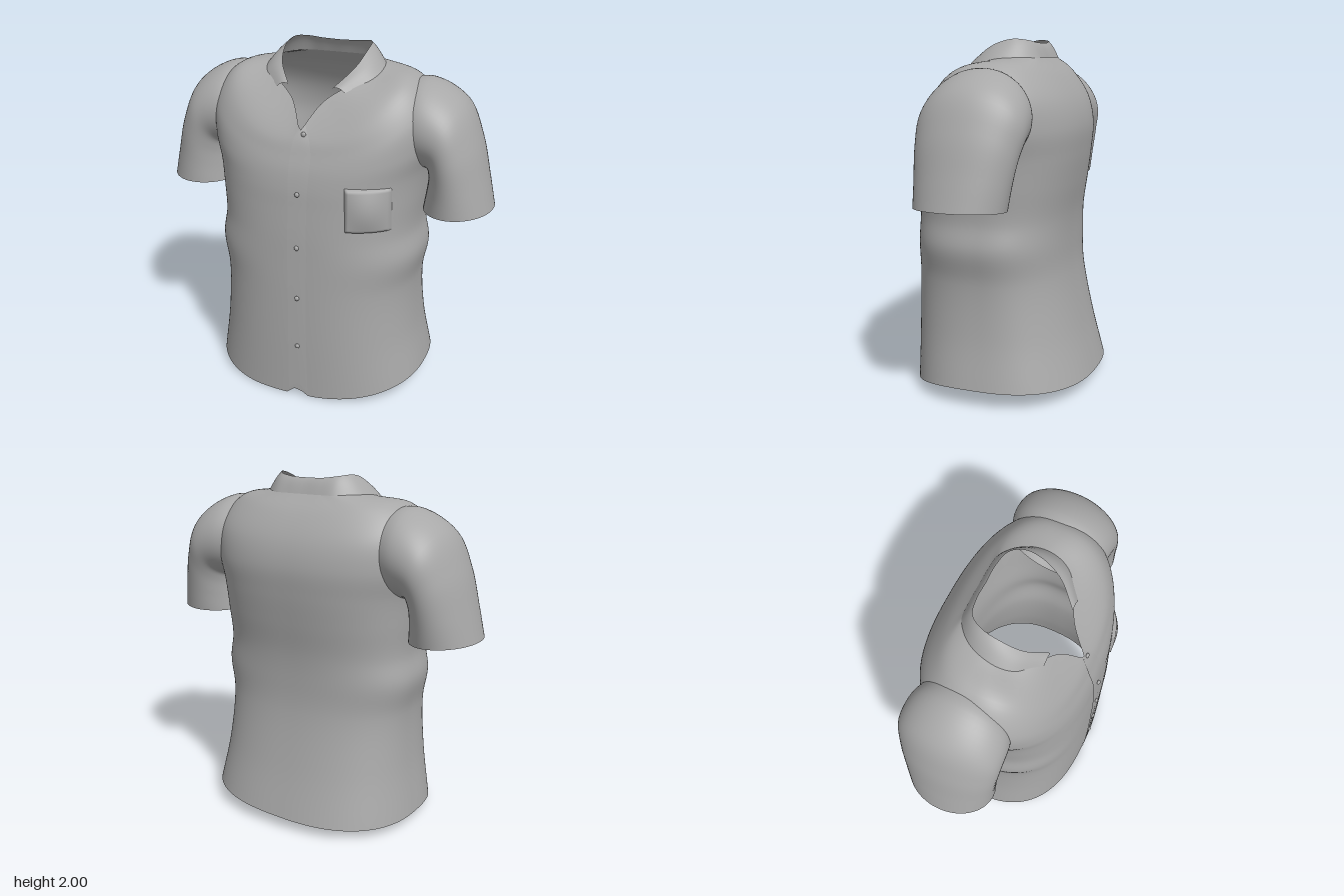
import * as THREE from 'three';

const fabric = new THREE.MeshStandardMaterial({ color: 0xa8a8a8, side: THREE.DoubleSide });
fabric.name = 'grey fabric';

const V = (x, y, z) => new THREE.Vector3(x, y, z);
const curve = (pts) => new THREE.CatmullRomCurve3(pts);

// Smooth grid surface; columns k, rows j, optionally closed around.
function surface(name, cols, rows, wrap, flip, column) {
  const pos = [], idx = [];
  const n = wrap ? cols : cols + 1;
  for (let k = 0; k < n; k++) {
    const at = column(k / cols);
    for (let j = 0; j <= rows; j++) pos.push(...at(j / rows).toArray());
  }
  for (let k = 0; k < cols; k++) {
    for (let j = 0; j < rows; j++) {
      const a = k * (rows + 1) + j, b = ((k + 1) % n) * (rows + 1) + j;
      if (flip) idx.push(a, a + 1, b, b, a + 1, b + 1);
      else idx.push(a, b, a + 1, b, b + 1, a + 1);
    }
  }
  const g = new THREE.BufferGeometry();
  g.setAttribute('position', new THREE.Float32BufferAttribute(pos, 3));
  g.setIndex(idx);
  g.computeVertexNormals();
  const mesh = new THREE.Mesh(g, fabric);
  mesh.name = name;
  return mesh;
}

// Torso rings: half width, front z, back z, then y at side, front, back.
const P = 2.5;
const rings = [
  [0.65, 0.52, -0.53, 0.08, 0.0, 0.07],
  [0.60, 0.52, -0.45, 0.38, 0.35, 0.36],
  [0.585, 0.515, -0.385, 0.68, 0.68, 0.68],
  [0.615, 0.51, -0.375, 0.87, 0.86, 0.86],
  [0.59, 0.505, -0.38, 1.02, 1.02, 1.02],
  [0.60, 0.495, -0.405, 1.2, 1.18, 1.2],
  [0.615, 0.487, -0.425, 1.36, 1.29, 1.37],
  [0.65, 0.47, -0.43, 1.52, 1.39, 1.52],
  [0.64, 0.445, -0.395, 1.71, 1.47, 1.66],
  [0.52, 0.42, -0.31, 1.855, 1.54, 1.8],
];

// Neck opening, from centre back round to the point of the V.
const neck = curve([
  V(0, 1.9, -0.21), V(0.1, 1.9, -0.21), V(0.2, 1.9, -0.2), V(0.29, 1.9, -0.12), V(0.33, 1.89, 0),
  V(0.31, 1.85, 0.12), V(0.2, 1.81, 0.215), V(0.09, 1.735, 0.285), V(0.005, 1.6, 0.39),
]);

// Curve up the torso at t: 0 back, 0.25 left side, 0.5 front, 0.75 right side.
function torsoColumn(t) {
  const side = t <= 0.5 ? 1 : -1;
  const u = t <= 0.5 ? 2 * t : 2 - 2 * t;
  const c = Math.abs(Math.sin(Math.PI * u)), s = -Math.cos(Math.PI * u);
  const pts = rings.map(([hw, zf, zb, ys, yf, yb], i) => {
    const x = side * hw * Math.pow(c, 2 / P);
    const z = (s > 0 ? zf : zb) * Math.pow(Math.abs(s), 2 / P);
    let y = ys + ((s > 0 ? yf : yb) - ys) * s * s;
    // slanted hem with a rounded notch at the front opening
    if (i === 0) {
      y += 0.03 * x;
      if (s > 0) y += 0.055 * Math.exp(-Math.pow((x - 0.02) / 0.035, 2));
    }
    return V(x, Math.max(y, 0), z);
  });
  const n = neck.getPoint(u);
  pts.push(V(side * n.x, n.y, n.z));
  return curve(pts);
}

// Sleeve rings: inner x, y, outer x, y, half depth, centre z.
const sleeveRings = [
  [0.50, 1.34, 0.45, 1.83, 0.24, -0.03],
  [0.57, 1.35, 0.60, 1.845, 0.285, -0.03],
  [0.62, 1.35, 0.79, 1.74, 0.295, -0.03],
  [0.625, 1.31, 0.89, 1.54, 0.28, -0.02],
  [0.615, 1.23, 0.95, 1.32, 0.262, -0.01],
  [0.60, 1.13, 0.99, 1.155, 0.25, 0],
];

function sleeveColumn(t, side) {
  const c = Math.cos(2 * Math.PI * t), s = Math.sin(2 * Math.PI * t);
  return curve(sleeveRings.map(([xi, yi, xo, yo, rz, zc]) => V(
    side * ((xi + xo) / 2 + c * (xo - xi) / 2),
    (yi + yo) / 2 + c * (yo - yi) / 2,
    zc + s * rz,
  )));
}

// Collar band: lower and upper edges, half from centre back to the front tip.
const collarBase = curve([
  V(0, 1.895, -0.22), V(0.1, 1.895, -0.22), V(0.2, 1.895, -0.208), V(0.295, 1.895, -0.125),
  V(0.338, 1.888, 0), V(0.32, 1.85, 0.125), V(0.2, 1.785, 0.25),
]);
const collarTop = curve([
  V(0, 1.98, -0.17), V(0.1, 1.983, -0.17), V(0.19, 1.995, -0.145), V(0.235, 2.0, -0.075),
  V(0.242, 1.97, 0.03), V(0.215, 1.9, 0.14), V(0.13, 1.805, 0.25),
]);

function collarColumn(t) {
  const side = t < 0.5 ? -1 : 1;
  const u = Math.abs(2 * t - 1);
  return (v) => {
    const p = collarBase.getPoint(u).lerp(collarTop.getPoint(u), v);
    p.y += 0.012 * Math.sin(Math.PI * v);
    p.x *= side;
    return p;
  };
}

// Chest pocket: puffed patch that follows the chest.
function pocketColumn(t) {
  return (v) => {
    const x = 0.28 + 0.23 * t, y = 1.07 + 0.26 * v;
    const chest = 0.494 * Math.pow(1 - Math.pow(x / 0.605, P), 1 / P);
    const edge = Math.min(t, 1 - t, v, 1 - v);
    const puff = edge < 1e-6 ? -0.012 : 0.012 + 0.022 * Math.sin(Math.PI * t) * Math.sin(Math.PI * v);
    return V(x + 0.4 * puff, y, chest + puff);
  };
}

export function createModel() {
  const shirt = new THREE.Group();
  shirt.name = 'shirt';

  shirt.add(surface('torso', 160, 66, true, true, (t) => {
    const c = torsoColumn(t);
    return (v) => c.getPoint(v);
  }));

  for (const side of [1, -1]) {
    shirt.add(surface(side > 0 ? 'leftSleeve' : 'rightSleeve', 64, 30, true, side < 0, (t) => {
      const c = sleeveColumn(t, side);
      return (v) => c.getPoint(v);
    }));
  }

  shirt.add(surface('collar', 80, 6, false, false, (t) => collarColumn(1 - t)));
  shirt.getObjectByName('collar').geometry.computeVertexNormals();

  // Overlapping front edge, raised at its free side
  shirt.add(surface('placket', 6, 60, false, true, (t) => {
    const c = torsoColumn(0.485 + 0.019 * t);
    return (v) => {
      const p = c.getPoint(0.01 + 0.98 * v);
      p.z += 0.007 * t - 0.001;
      return p;
    };
  }));

  shirt.add(surface('pocket', 20, 20, false, false, pocketColumn));

  // Buttons down the front
  const buttonGeometry = new THREE.SphereGeometry(0.014, 16, 10);
  [[1.58, 0.402], [1.27, 0.499], [0.96, 0.516], [0.65, 0.522], [0.34, 0.526]].forEach(([y, z], i) => {
    const button = new THREE.Mesh(buttonGeometry, fabric);
    button.name = `button${i + 1}`;
    button.position.set(0.025, y, z);
    button.scale.z = 0.7;
    shirt.add(button);
  });

  return shirt;
}
